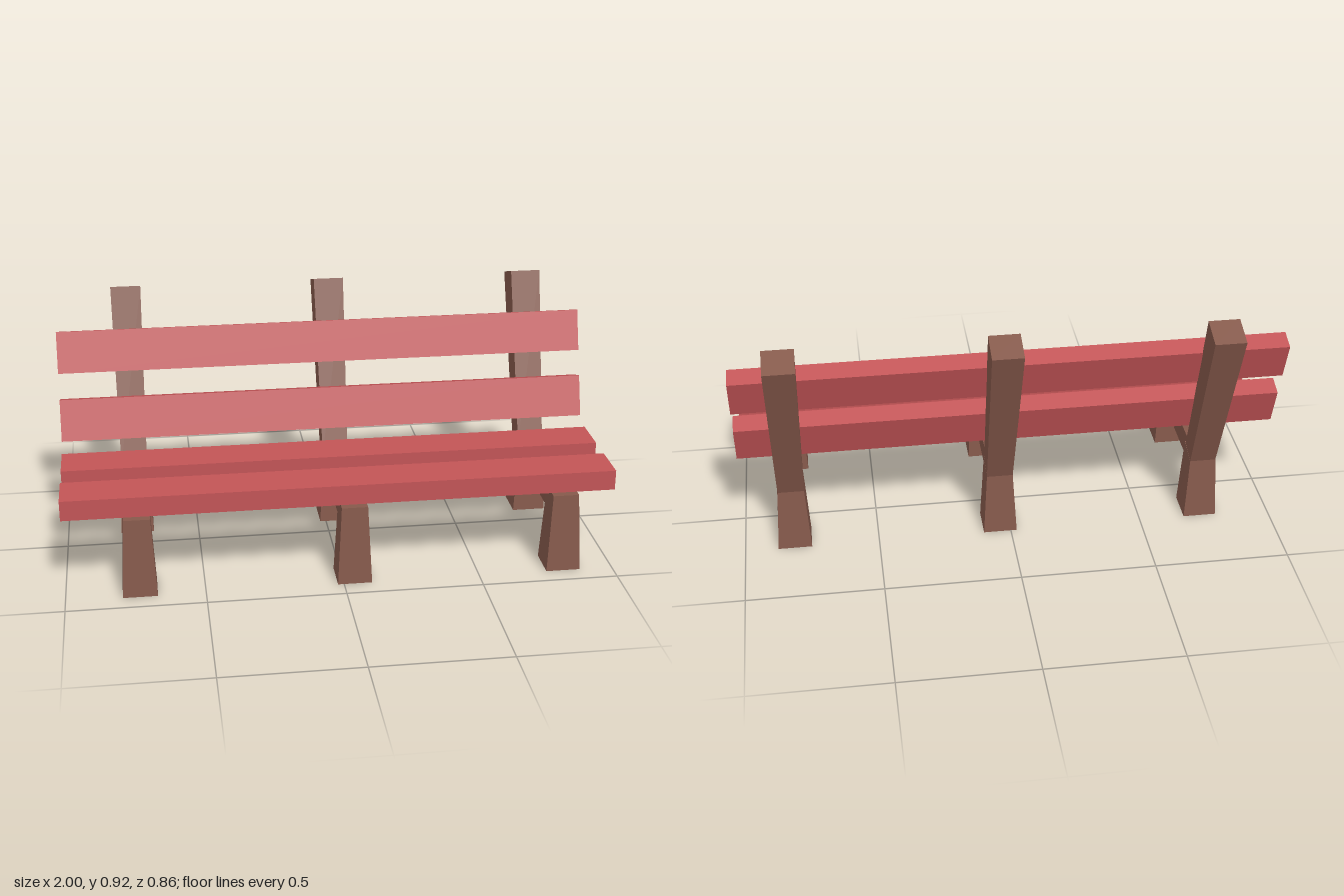
import * as THREE from 'three';

const redPaint = new THREE.MeshStandardMaterial({ color: 0xc25456 });
redPaint.name = 'red slat paint';
const brownWood = new THREE.MeshStandardMaterial({ color: 0x85594b, side: THREE.DoubleSide });
brownWood.name = 'brown wood';

// Four-sided tapered post. Each end is { w, front: [z, y], back: [z, y] }.
function taperedPost(name, bottom, top, openBottom) {
  const ring = ({ w, front, back }) => [
    [-w / 2, front[1], front[0]], [w / 2, front[1], front[0]],
    [w / 2, back[1], back[0]], [-w / 2, back[1], back[0]],
  ];
  const b = ring(bottom), t = ring(top), points = [];
  const quad = (p, q, r, s) => points.push(...p, ...q, ...r, ...p, ...r, ...s);
  for (let i = 0; i < 4; i++) {
    const j = (i + 1) % 4;
    quad(b[i], b[j], t[j], t[i]);
  }
  quad(t[0], t[1], t[2], t[3]);
  if (!openBottom) quad(b[3], b[2], b[1], b[0]);
  const geometry = new THREE.BufferGeometry();
  geometry.setAttribute('position', new THREE.Float32BufferAttribute(points, 3));
  geometry.computeVertexNormals();
  const mesh = new THREE.Mesh(geometry, brownWood);
  mesh.name = name;
  return mesh;
}

function box(name, size, y, z, material, tilt = 0) {
  const mesh = new THREE.Mesh(new THREE.BoxGeometry(...size), material);
  mesh.name = name;
  mesh.position.set(0, y, z);
  mesh.rotation.x = tilt;
  return mesh;
}

// One support: two hollow legs, a rail between them and a leaning back post
function createSupport() {
  const support = new THREE.Group();
  support.name = 'support';
  support.add(
    taperedPost('frontLeg',
      { w: 0.125, front: [0.43, 0], back: [0.305, 0] },
      { w: 0.095, front: [0.414, 0.297], back: [0.32, 0.297] }, true),
    taperedPost('backLeg',
      { w: 0.125, front: [-0.086, 0], back: [-0.212, 0] },
      { w: 0.097, front: [-0.102, 0.275], back: [-0.197, 0.245] }, true),
    taperedPost('backPost',
      { w: 0.097, front: [-0.115, 0.275], back: [-0.197, 0.245] },
      { w: 0.113, front: [-0.321, 0.921], back: [-0.429, 0.886] }, false),
    box('seatRail', [0.085, 0.087, 0.49], 0.2535, 0.125, brownWood),
  );
  return support;
}

export function createModel() {
  const bench = new THREE.Group();
  bench.name = 'bench';

  for (const x of [-0.735, 0.04, 0.815]) {
    const support = createSupport();
    support.position.x = x;
    bench.add(support);
  }

  // Flat seat slats, then tilted backrest slats
  for (const z of [0.32, 0.065]) {
    bench.add(box('seatSlat', [2, 0.075, 0.157], 0.3405, z, redPaint));
  }
  for (const [y, z] of [[0.462, -0.138], [0.704, -0.218]]) {
    bench.add(box('backSlat', [2, 0.156, 0.073], y, z, redPaint, -0.32));
  }
  return bench;
}
